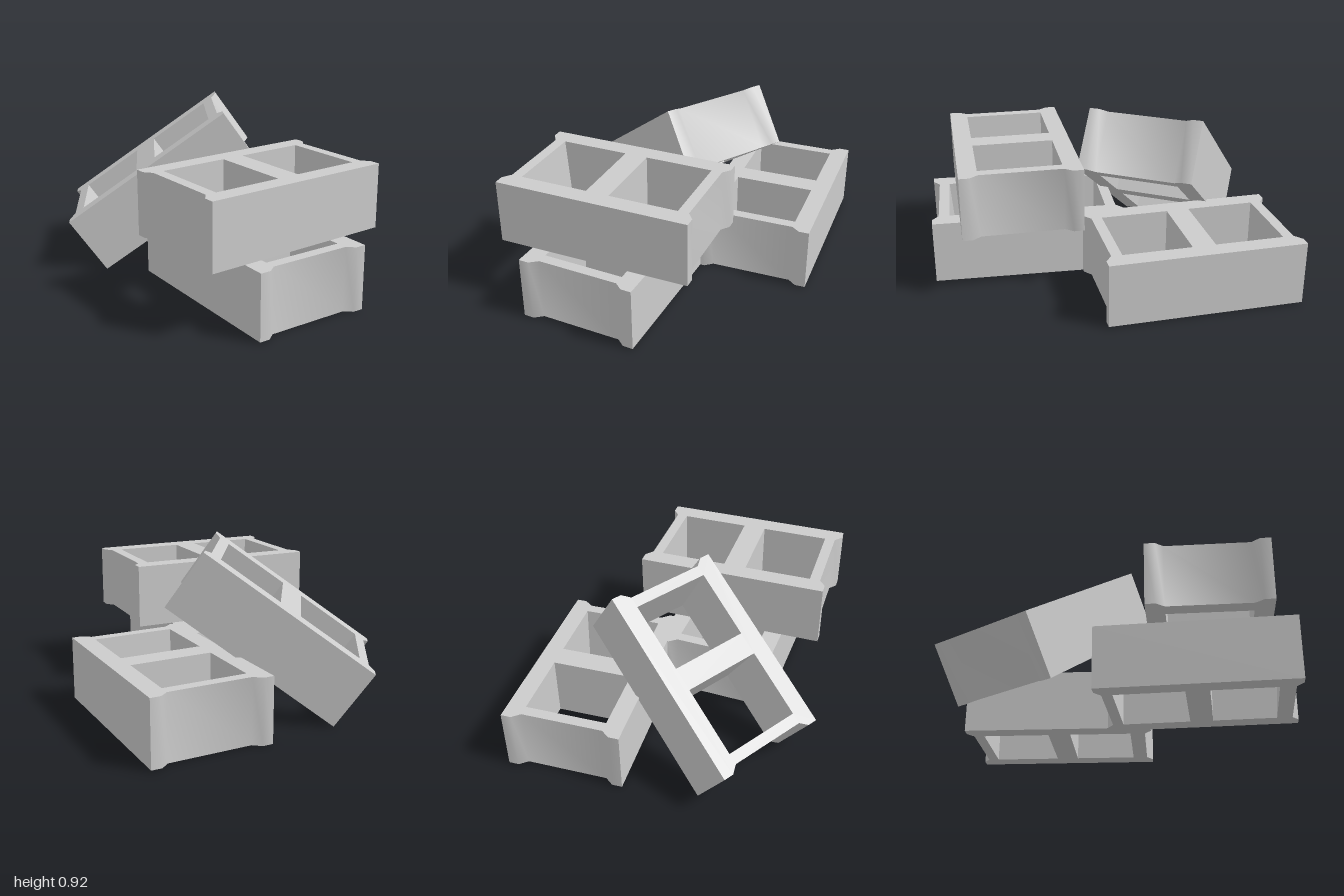
import * as THREE from 'three';
import { toCreasedNormals } from 'three/addons/utils/BufferGeometryUtils.js';

const W = 0.333, L = 0.546, H = 0.36; // half width, half length, height

// Hollow block: outline with recessed ends, two cells, extruded upwards
function blockGeometry() {
  const corner = [[W, 0], [W, L], [W - 0.058, L], [W - 0.103, L - 0.036]];
  const half = [...corner, ...corner.slice(1).reverse().map(([x, y]) => [-x, y])];
  const outline = [...half.slice(1), ...half.slice(1).map(([x, y]) => [-x, -y])];
  const shape = new THREE.Shape(outline.map(([x, y]) => new THREE.Vector2(x, y)));

  for (const s of [-1, 1]) {
    const cell = [[-0.23, 0.065], [0.23, 0.065], [0.23, 0.45], [-0.23, 0.45]];
    shape.holes.push(new THREE.Path(cell.map(([x, y]) => new THREE.Vector2(x, y * s))));
  }

  const geo = new THREE.ExtrudeGeometry(shape, { depth: H, bevelEnabled: false });
  geo.translate(0, 0, -H / 2).rotateX(-Math.PI / 2);

  // One cell has a sloping end wall, narrower at the bottom
  const p = geo.attributes.position;
  for (let i = 0; i < p.count; i++) {
    if (p.getY(i) < 0 && Math.abs(p.getZ(i) - 0.45) < 0.001) p.setZ(i, 0.424);
  }
  return toCreasedNormals(geo, 0.8);
}

export function createModel() {
  const group = new THREE.Group();
  const geometry = blockGeometry();
  const material = new THREE.MeshStandardMaterial({ color: 0xcccccc });

  const addBlock = (name, x, y, z, turn = 0) => {
    const mesh = new THREE.Mesh(geometry, material);
    mesh.name = name;
    mesh.position.set(x, y, z);
    mesh.rotation.y = THREE.MathUtils.degToRad(turn);
    group.add(mesh);
    return mesh;
  };

  addBlock('lowerFrontBlock', -0.182, 0.19, 0.428, -4.3);
  addBlock('lowerBackBlock', 0.473, 0.19, -0.395);
  addBlock('stackedBlock', -0.18, 0.55, 0.497, -92);

  // Block leaning on the others, rising towards the front left
  const leaning = addBlock('leaningBlock', -0.168, 0.464, -0.416);
  const across = new THREE.Vector3(0.555, 0, -0.832).normalize();
  const along = new THREE.Vector3(0.682, 0.573, 0.455).normalize();
  const normal = along.clone().cross(across).normalize();
  along.crossVectors(across, normal);
  leaning.quaternion.setFromRotationMatrix(new THREE.Matrix4().makeBasis(across, normal, along));

  return group;
}
